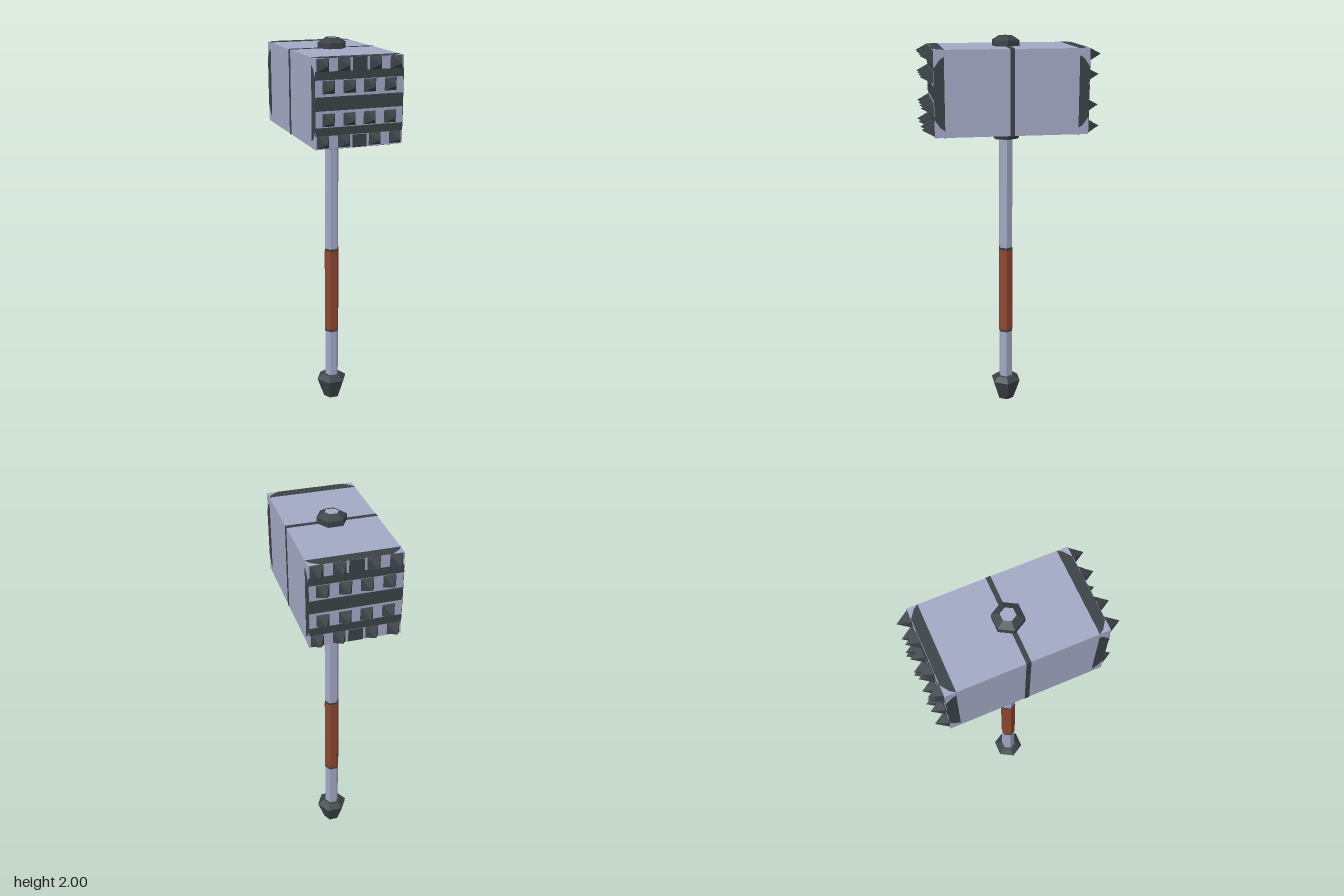
import * as THREE from 'three';

const mat = (name, color) => {
  const m = new THREE.MeshStandardMaterial({ color, flatShading: true });
  m.name = name;
  return m;
};

export function createModel() {
  const steel = mat('pale steel', 0xa2a8c4);
  const iron = mat('dark iron', 0x3b4246);
  const leather = mat('brown leather', 0x8c4631);
  const model = new THREE.Group();
  model.name = 'warHammer';

  const add = (parent, name, geometry, material, x = 0, y = 0, z = 0) => {
    const mesh = new THREE.Mesh(geometry, material);
    mesh.name = name;
    mesh.position.set(x, y, z);
    parent.add(mesh);
    return mesh;
  };
  const box = (parent, name, w, h, d, material, x, y, z) =>
    add(parent, name, new THREE.BoxGeometry(w, h, d), material, x, y, z);
  // Six-sided turned part with corners on the x axis
  const hex = (name, profile, material) => {
    const g = new THREE.LatheGeometry(profile.map(([r, y]) => new THREE.Vector2(r, y)), 6);
    g.rotateY(Math.PI / 6);
    return add(model, name, g, material);
  };

  // Handle
  hex('shaft', [[0, 0.1], [0.037, 0.1], [0.037, 1.996], [0, 1.996]], steel);
  hex('grip', [[0.037, 0.435], [0.039, 0.435], [0.039, 0.89], [0.037, 0.89]], leather);
  for (const y of [0.422, 0.89])
    hex('gripRing', [[0.036, y], [0.0385, y], [0.0385, y + 0.013], [0.036, y + 0.013]], iron);
  hex('pommel', [[0, 0], [0.045, 0.02], [0.083, 0.13], [0.05, 0.155], [0, 0.16]], iron);
  hex('collar', [[0, 1.488], [0.068, 1.488], [0.086, 1.536], [0, 1.536]], iron);
  hex('topNut', [[0.073, 1.94], [0.073, 1.978], [0.036, 2.0], [0.036, 1.99]], iron);

  // Head block and its centre band
  const W = 0.434, H = 0.415, D = 0.754, CY = 1.7425, T = 0.003;
  box(model, 'headBlock', W, H, D, steel, 0, CY, 0);
  box(model, 'centreBand', W + T, H + T, 0.022, iron, 0, CY, 0);

  // Flat trapezoid trim running along an edge of the striking face
  const trim = (length) => {
    const a = length / 2, s = new THREE.Shape();
    s.moveTo(-a, 0);
    s.lineTo(a, 0);
    s.lineTo(a - 0.015, 0.022);
    s.lineTo(a - 0.055, 0.05);
    s.lineTo(-a + 0.055, 0.05);
    s.lineTo(-a + 0.015, 0.022);
    s.closePath();
    return new THREE.ExtrudeGeometry(s, { depth: T, bevelEnabled: false });
  };

  // Both striking faces, one turned to the back
  const spike = new THREE.ConeGeometry(0.043, 0.062, 4);
  spike.rotateY(Math.PI / 4).rotateX(Math.PI / 2);
  const rows = [[1.92, 0.18, 0.077], [1.82, 0.153, 0.05], [1.67, 0.153, 0.05], [1.57, 0.18, 0.077]];
  for (const turn of [0, Math.PI]) {
    const face = new THREE.Group();
    face.name = turn ? 'backStrikingFace' : 'frontStrikingFace';
    face.rotation.y = turn;
    model.add(face);

    for (const [y, outer, inner] of rows)
      for (const x of [-outer, -inner, inner, outer])
        add(face, 'spike', spike, iron, x, y, D / 2 + 0.03);

    // Cross bars between the spike rows
    for (const [y, h] of [[1.872, 0.038], [1.745, 0.064], [1.617, 0.038]])
      box(face, 'crossBar', W, h, T, iron, 0, y, D / 2);
    for (const y of [1.92, 1.565])
      box(face, 'middlePlate', 0.07, 0.06, T, iron, 0, y, D / 2);

    // Edge trims on top, bottom and sides
    for (const s of [-1, 1]) {
      const flat = add(face, 'edgeTrim', trim(W), iron, 0, CY + s * H / 2 + T / 2, 0.325);
      flat.rotation.x = Math.PI / 2;
      const side = add(face, 'sideTrim', trim(0.35), iron, s * W / 2 - T / 2, CY, 0.327);
      side.rotation.set(Math.PI / 2, Math.PI / 2, 0, 'YXZ');
      side.rotation.setFromRotationMatrix(new THREE.Matrix4().makeBasis(
        new THREE.Vector3(0, 1, 0), new THREE.Vector3(0, 0, 1), new THREE.Vector3(1, 0, 0)));
    }
  }
  return model;
}
